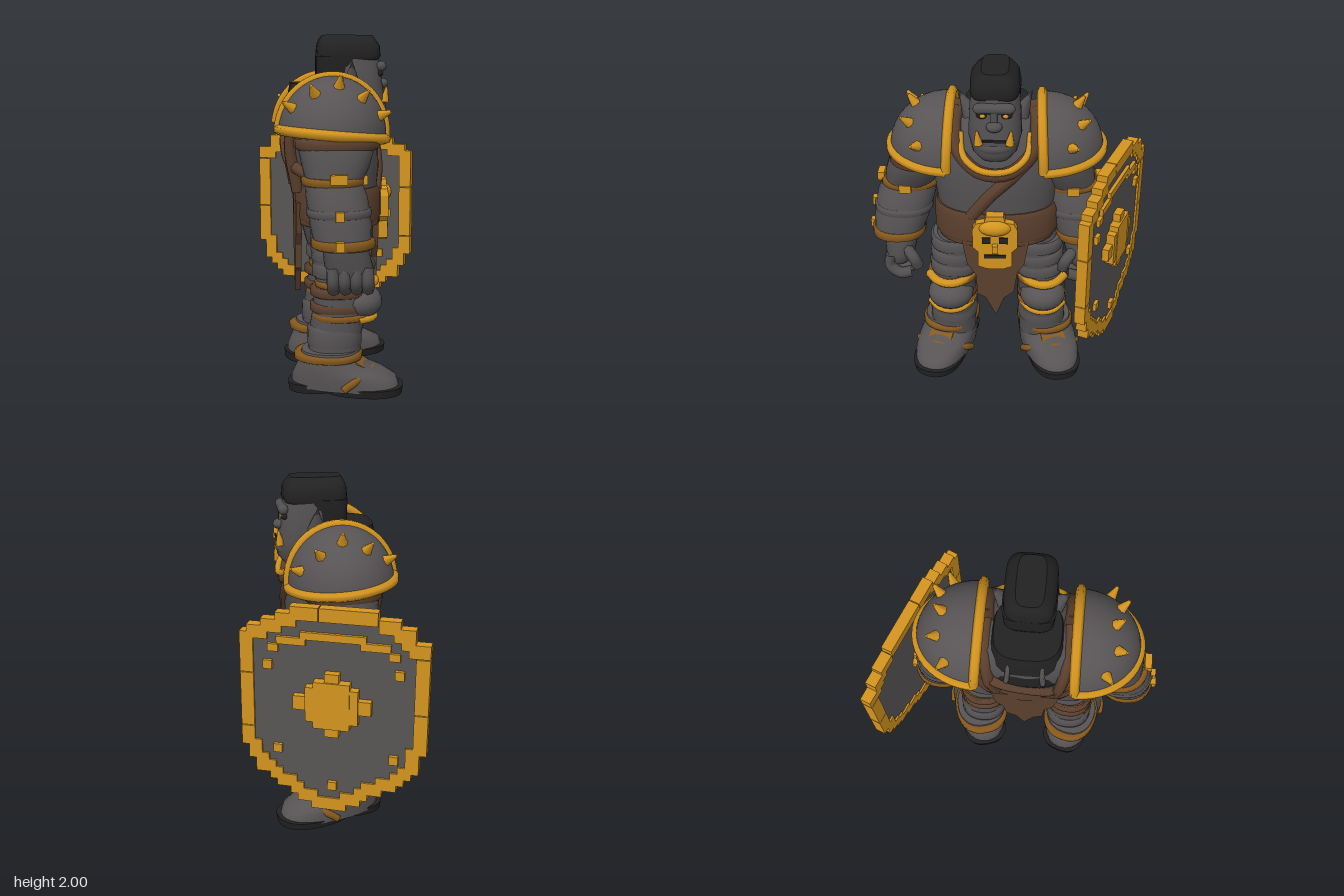
import * as THREE from 'three';

const mat = (name, color) => Object.assign(new THREE.MeshStandardMaterial({ color }), { name });
const steel = mat('steel grey', 0x585455);
const skin = mat('skin grey', 0x535051);
const gold = mat('gold', 0xd4951f);
const bronze = mat('bronze', 0x87591d);
const leather = mat('leather brown', 0x5c402e);
const dark = mat('dark', 0x222222);
const shell = mat('pauldron grey', 0x585455);
shell.side = THREE.DoubleSide;

const V = (x, y, z) => new THREE.Vector3(x, y, z);

function add(parent, name, geo, material, x = 0, y = 0, z = 0) {
  const m = new THREE.Mesh(geo, material);
  m.name = name;
  m.position.set(x, y, z);
  parent.add(m);
  return m;
}

// Closed body from horizontal superellipse rings [y, x, z, rx, rz], bottom to top
function loft(rings, n = 2.3, seg = 28) {
  const pos = [], idx = [];
  const p = (v) => Math.sign(v) * Math.abs(v) ** (2 / n);
  const ring = ([y, x, z, rx, rz]) => {
    for (let j = 0; j < seg; j++) {
      const a = (j / seg) * Math.PI * 2;
      pos.push(x + rx * p(Math.cos(a)), y, z + rz * p(Math.sin(a)));
    }
  };
  rings.forEach(ring);
  for (let i = 0; i < rings.length - 1; i++) for (let j = 0; j < seg; j++) {
    const k = (j + 1) % seg, a = i * seg + j, b = i * seg + k;
    idx.push(a, a + seg, b, b, a + seg, b + seg);
  }
  for (const top of [false, true]) {
    const r = top ? rings[rings.length - 1] : rings[0], s = pos.length / 3;
    ring(r);
    pos.push(r[1], r[0], r[2]);
    for (let j = 0; j < seg; j++) {
      const a = s + j, b = s + (j + 1) % seg;
      idx.push(s + seg, top ? b : a, top ? a : b);
    }
  }
  const g = new THREE.BufferGeometry();
  g.setAttribute('position', new THREE.Float32BufferAttribute(pos, 3));
  g.setIndex(idx);
  g.computeVertexNormals();
  return g;
}

// Rounded band of height h around one ring
const band = (y, h, x, z, rx, rz, n) => loft([
  [y - h / 2, x, z, rx - 0.015, rz - 0.015], [y - h / 3, x, z, rx, rz],
  [y + h / 3, x, z, rx, rz], [y + h / 2, x, z, rx - 0.015, rz - 0.015]], n);

const tube = (pts, r, sides = 7) =>
  new THREE.TubeGeometry(new THREE.CatmullRomCurve3(pts.map((q) => V(...q))), 24, r, sides);

const plate = (pts, depth) => new THREE.ExtrudeGeometry(
  new THREE.Shape(pts.map((q) => new THREE.Vector2(...q))), { depth, bevelEnabled: false });

const box = (w, h, d) => new THREE.BoxGeometry(w, h, d);

function ball(parent, name, material, x, y, z, rx, ry, rz) {
  add(parent, name, new THREE.SphereGeometry(1, 18, 12), material, x, y, z).scale.set(rx, ry, rz);
}

function spike(parent, name, at, dir, r, h) {
  const m = add(parent, name, new THREE.CylinderGeometry(r * 0.25, r, h, 7), gold, ...at);
  m.quaternion.setFromUnitVectors(V(0, 1, 0), V(...dir).normalize());
}

function buildTorso(g) {
  add(g, 'torso', loft([[0.8, -0.06, 0, 0.17, 0.22], [0.95, -0.05, 0, 0.22, 0.32], [1.1, -0.05, 0, 0.23, 0.34],
    [1.25, -0.06, 0, 0.25, 0.36], [1.42, -0.08, 0, 0.265, 0.38], [1.55, -0.1, 0, 0.25, 0.35],
    [1.66, -0.12, 0, 0.2, 0.26], [1.72, -0.1, 0, 0.12, 0.15]]), skin);
  add(g, 'backPanel', loft([[1.3, -0.14, 0, 0.19, 0.22], [1.4, -0.15, 0, 0.205, 0.23], [1.6, -0.15, 0, 0.195, 0.21],
    [1.73, -0.15, 0, 0.17, 0.18]], 3), dark);
  for (const s of [-1, 1]) {
    add(g, 'backStrap', tube([[-0.04, 1.7, s * 0.23], [-0.26, 1.62, s * 0.22], [-0.33, 1.42, s * 0.2], [-0.29, 1.12, s * 0.17]], 0.035), leather);
    add(g, 'backRib', tube([[-0.28, 1.72, s * 0.09], [-0.33, 1.6, s * 0.09], [-0.345, 1.45, s * 0.1]], 0.016), steel);
  }
  add(g, 'backCrossStrap', tube([[-0.2, 1.48, -0.35], [-0.33, 1.42, -0.18], [-0.345, 1.35, 0], [-0.31, 1.27, 0.18], [-0.18, 1.2, 0.33]], 0.035), leather);
  // Chest strap and collar
  add(g, 'chestStrap', tube([[-0.02, 1.63, -0.27], [0.11, 1.53, -0.22], [0.165, 1.41, -0.11], [0.175, 1.27, 0.03], [0.155, 1.12, 0.14]], 0.042), leather);
  add(g, 'collar', tube([[-0.12, 1.71, -0.22], [0.05, 1.64, -0.235], [0.12, 1.53, -0.21], [0.18, 1.43, -0.1], [0.19, 1.41, 0],
    [0.18, 1.43, 0.1], [0.12, 1.53, 0.21], [0.05, 1.64, 0.235], [-0.12, 1.71, 0.22]], 0.042), leather);
  add(g, 'collarTrim', tube([[0.07, 1.62, -0.2], [0.16, 1.52, -0.18], [0.21, 1.46, -0.1], [0.225, 1.445, 0],
    [0.21, 1.46, 0.1], [0.16, 1.52, 0.18], [0.07, 1.62, 0.2]], 0.02), gold);
  // Belt, loincloth and skull buckle
  add(g, 'belt', band(1.045, 0.21, -0.05, 0, 0.255, 0.37), leather);
  add(g, 'beltLowerEdge', band(0.945, 0.04, -0.05, 0, 0.25, 0.35), leather);
  const flap = [[-0.2, 0.98], [-0.17, 0.8], [-0.12, 0.72], [-0.11, 0.58], [-0.06, 0.55], [0, 0.42],
    [0.05, 0.55], [0.11, 0.6], [0.13, 0.74], [0.17, 0.8], [0.2, 0.98]];
  for (const x of [0.14, -0.3]) add(g, 'loincloth', plate(flap, 0.035), leather, x, x < 0 ? 0.08 : 0).rotation.y = Math.PI / 2;
  const skull = [[-0.05, 1.17], [-0.06, 1.13], [-0.11, 1.12], [-0.13, 1.08], [-0.13, 0.96], [-0.1, 0.93], [-0.1, 0.83],
    [-0.05, 0.81], [0.05, 0.81], [0.1, 0.83], [0.1, 0.93], [0.13, 0.96], [0.13, 1.08], [0.11, 1.12], [0.06, 1.13], [0.05, 1.17]];
  add(g, 'buckle', plate(skull, 0.07), gold, 0.17).rotation.y = Math.PI / 2;
  ball(g, 'buckleBrow', gold, 0.22, 1.09, 0, 0.055, 0.055, 0.1);
  for (const s of [-1, 1]) add(g, 'buckleEye', box(0.008, 0.04, 0.05), dark, 0.243, 1.01, s * 0.05);
  add(g, 'buckleMouth', box(0.008, 0.022, 0.13), dark, 0.243, 0.9, 0);
  add(g, 'buckleNose', box(0.05, 0.05, 0.03), gold, 0.245, 0.96, 0);
}

function buildHead(g) {
  add(g, 'head', loft([[1.5, 0.12, 0, 0.07, 0.08], [1.55, 0.1, 0, 0.13, 0.125], [1.64, 0.08, 0, 0.15, 0.15],
    [1.74, 0.06, 0, 0.15, 0.145], [1.82, 0.04, 0, 0.165, 0.14], [1.92, 0.03, 0, 0.15, 0.12]], 2.5), skin);
  add(g, 'hairCap', loft([[1.86, 0.01, 0, 0.175, 0.13], [1.88, 0.015, 0, 0.185, 0.137], [1.94, 0.015, 0, 0.18, 0.135],
    [1.97, 0.01, 0, 0.165, 0.11], [2, 0.01, 0, 0.145, 0.075]], 4), dark);
  add(g, 'hairBack', loft([[1.66, -0.07, 0, 0.07, 0.1], [1.76, -0.06, 0, 0.11, 0.135], [1.88, -0.05, 0, 0.12, 0.142]], 4), dark);
  add(g, 'brow', new THREE.CapsuleGeometry(0.03, 0.17, 4, 10), skin, 0.2, 1.825, 0).rotation.x = Math.PI / 2;
  ball(g, 'nose', skin, 0.215, 1.725, 0, 0.038, 0.03, 0.045);
  add(g, 'noseBridge', box(0.04, 0.09, 0.035), skin, 0.2, 1.775, 0);
  ball(g, 'jaw', skin, 0.15, 1.59, 0, 0.09, 0.055, 0.12);
  add(g, 'mouth', box(0.008, 0.014, 0.13), dark, 0.232, 1.645, 0);
  for (const s of [-1, 1]) {
    ball(g, 'eyeSocket', dark, 0.19, 1.785, s * 0.065, 0.022, 0.022, 0.035);
    ball(g, 'eye', gold, 0.205, 1.785, s * 0.063, 0.012, 0.012, 0.016);
    spike(g, 'tusk', [0.225, 1.665, s * 0.09], [0.1, 1, s * 0.1], 0.026, 0.085);
    const ear = add(g, 'ear', new THREE.ConeGeometry(0.055, 0.16, 8), skin, 0.02, 1.785, s * 0.17);
    ear.rotation.x = s * 0.45;
  }
}

function buildPauldron(g, s) {
  const p = new THREE.Group();
  p.name = 'pauldron';
  p.position.set(-0.1, 1.455, s * 0.272);
  p.rotation.set(-0.05, s > 0 ? 0 : Math.PI, -0.09 * s, 'YXZ');
  g.add(p);
  const R = [0.3, 0.32, 0.345];
  add(p, 'pauldronShell', new THREE.SphereGeometry(1, 28, 12, 0, Math.PI, 0, Math.PI / 2), shell).scale.set(...R);
  const arc = (f) => Array.from({ length: 17 }, (_, i) => f(Math.cos(i * Math.PI / 16), Math.sin(i * Math.PI / 16)));
  add(p, 'innerRim', tube(arc((c, d) => [R[0] * c, R[1] * d, 0]), 0.028, 6), gold);
  add(p, 'lowerRim', tube(arc((c, d) => [R[0] * c, 0, R[2] * d]), 0.028, 6), gold);
  for (const [a, e] of [[0.55, 0.4], [1.57, 0.95], [2.6, 0.4], [1.0, 0.7], [2.15, 0.7]]) {
    const d = [Math.cos(a) * Math.cos(e), Math.sin(e), Math.sin(a) * Math.cos(e)];
    spike(p, 'pauldronSpike', d.map((v, i) => v * (R[i] + 0.025)), d, 0.036, 0.085);
  }
}

function buildArm(g, s) {
  const shift = s < 0 ? 0.08 : 0; // the shield arm is held closer to the body
  const w = (v) => s * (v - shift);
  add(g, 'upperArm', loft([[1.17, -0.12, w(0.54), 0.13, 0.13], [1.3, -0.1, w(0.49), 0.18, 0.165],
    [1.45, -0.09, w(0.43), 0.22, 0.18], [1.62, -0.1, s * 0.35, 0.18, 0.14]]), skin);
  add(g, 'armStrap', band(1.42, 0.06, -0.09, w(0.44), 0.23, 0.185), leather);
  add(g, 'bracer', loft([[0.88, -0.07, w(0.6), 0.15, 0.145], [1.0, -0.08, w(0.575), 0.165, 0.165],
    [1.15, -0.1, w(0.54), 0.165, 0.175], [1.25, -0.12, w(0.51), 0.15, 0.16]]), steel);
  add(g, 'bracerTop', band(1.23, 0.045, -0.12, w(0.515), 0.165, 0.175), bronze);
  add(g, 'bracerPlate', band(1.07, 0.05, -0.09, w(0.56), 0.172, 0.175), steel);
  add(g, 'bracerCuff', band(0.91, 0.055, -0.07, w(0.595), 0.17, 0.16), bronze);
  for (const [y, v, l] of [[1.255, 0.685, 0.09], [1.07, 0.73, 0.045], [0.915, 0.752, 0.045]])
    add(g, 'bracerStud', box(l, 0.05, 0.04), gold, -0.1, y, w(v));
  add(g, 'bracerFrontStud', box(0.04, 0.05, 0.07), gold, 0.045, 1.235, w(0.53));
  // Hand with curled fingers
  add(g, 'wrist', loft([[0.7, -0.03, w(0.6), 0.08, 0.06], [0.78, -0.04, w(0.59), 0.13, 0.09], [0.9, -0.06, w(0.58), 0.12, 0.11]]), skin);
  for (let i = 0; i < 4; i++) {
    const x = -0.13 + i * 0.062;
    add(g, 'finger', tube([[x, 0.78, w(0.64)], [x, 0.7, w(0.65)], [x + 0.01, 0.65, w(0.59)], [x + 0.02, 0.67, w(0.51)]], 0.035), skin);
  }
  add(g, 'thumb', tube([[0.04, 0.82, w(0.55)], [0.08, 0.77, w(0.5)], [0.06, 0.7, w(0.48)]], 0.036), skin);
}

function buildLeg(g, s) {
  add(g, 'leg', loft([[0.15, -0.09, s * 0.29, 0.15, 0.15], [0.3, -0.09, s * 0.28, 0.15, 0.142], [0.45, -0.06, s * 0.28, 0.155, 0.145],
    [0.62, -0.04, s * 0.265, 0.155, 0.14], [0.8, -0.05, s * 0.245, 0.17, 0.15], [0.98, -0.06, s * 0.2, 0.16, 0.14]]), skin);
  for (let i = 0; i < 3; i++) add(g, 'thighPlate', band(0.69 + i * 0.085, 0.085, -0.045, s * (0.26 - i * 0.008), 0.17, 0.152 + i * 0.003), steel);
  for (const y of [0.48, 0.57]) add(g, 'kneeStrap', band(y, 0.055, -0.06, s * 0.275, 0.168, 0.15), leather);
  add(g, 'kneeBandUpper', band(0.615, 0.04, -0.03, s * 0.275, 0.17, 0.152), bronze);
  add(g, 'kneeBandLower', band(0.43, 0.04, -0.05, s * 0.28, 0.168, 0.155), bronze);
  add(g, 'shinPlate', band(0.31, 0.13, -0.09, s * 0.28, 0.155, 0.148), steel);
  ball(g, 'kneeCap', steel, 0.055, 0.505, s * 0.285, 0.13, 0.1, 0.14);
  for (const [y, r] of [[0.625, 0.027], [0.42, 0.02]]) add(g, 'kneeTrim', tube([[0.03, y, s * 0.285 - 0.13], [0.115, y, s * 0.285 - 0.07],
    [0.14, y, s * 0.285], [0.115, y, s * 0.285 + 0.07], [0.03, y, s * 0.285 + 0.13]], r), gold);
  // Boot turned outward
  const b = new THREE.Group();
  b.name = 'boot';
  b.position.set(-0.03, 0, s * 0.33);
  b.rotation.y = -0.29 * s;
  g.add(b);
  add(b, 'foreSole', loft([[0, 0.1, 0, 0.225, 0.15], [0.045, 0.1, 0, 0.23, 0.16]], 2.4), dark);
  add(b, 'heelSole', loft([[0, -0.19, 0, 0.135, 0.13], [0.05, -0.19, 0, 0.14, 0.14]], 2.6), dark);
  add(b, 'bootUpper', loft([[0.03, 0, 0, 0.31, 0.165], [0.09, -0.01, 0, 0.3, 0.17], [0.13, -0.04, 0, 0.25, 0.17],
    [0.17, -0.09, 0, 0.18, 0.165], [0.24, -0.09, 0, 0.16, 0.155]], 2.3), steel);
  add(b, 'bootRim', band(0.205, 0.045, -0.1, 0, 0.195, 0.172), bronze);
  add(b, 'insteepPlate', box(0.09, 0.03, 0.15), bronze, 0.1, 0.15, 0).rotation.z = -0.5;
  add(b, 'toeBand', tube([[0.02, 0.05, -0.175], [0.09, 0.1, -0.15], [0.15, 0.13, 0], [0.09, 0.1, 0.15], [0.02, 0.05, 0.175]], 0.022), bronze);
}

function buildShield(g) {
  const sh = new THREE.Group();
  sh.name = 'shield';
  sh.position.set(0, 0, -0.625);
  sh.rotation.y = -0.38;
  g.add(sh);
  const outline = [[-0.48, 1.24], [-0.39, 1.3], [-0.24, 1.385], [0.22, 1.385], [0.39, 1.28], [0.48, 1.24], [0.48, 0.72],
    [0.43, 0.54], [0.3, 0.42], [0.08, 0.29], [-0.06, 0.29], [-0.28, 0.42], [-0.42, 0.52], [-0.48, 0.72]].reverse();
  add(sh, 'shieldBoard', plate(outline, 0.04), steel, 0, 0, -0.02);
  // Stepped rim of blocks snapped to a grid
  const path = new THREE.CurvePath();
  outline.forEach((q, i) => path.add(new THREE.LineCurve(new THREE.Vector2(...q), new THREE.Vector2(...outline[(i + 1) % outline.length]))));
  const snap = (v) => Math.round(v / 0.04) * 0.04;
  const block = box(0.075, 0.075, 0.064), N = 76;
  for (let i = 0; i < N; i++) {
    const q = path.getPointAt(i / N);
    add(sh, 'shieldRim', block, gold, snap(q.x), snap(q.y), 0);
  }
  // Stepped star, inlay and studs on the outer face
  for (const [w, h, d] of [[0.43, 0.08, 0.04], [0.29, 0.2, 0.05], [0.2, 0.27, 0.055], [0.08, 0.37, 0.045]])
    add(sh, 'shieldStar', box(w, h, d), gold, 0, 0.9, -0.02 - d / 2);
  for (const [x, y, l] of [[0, 1.28, 0.36], [-0.23, 1.245, 0.16], [0.23, 1.245, 0.16], [-0.33, 1.2, 0.06], [0.33, 1.2, 0.06]])
    add(sh, 'shieldInlay', box(l, 0.042, 0.03), gold, x, y, -0.025);
  for (const [x, y, z] of [[-0.36, 1.1, -0.025], [0.36, 1.1, -0.025], [-0.34, 0.6, -0.025], [0.31, 0.6, 0], [0, 0.4, -0.025]])
    add(sh, 'shieldStud', box(0.05, 0.05, z ? 0.035 : 0.08), gold, x, y, z);
}

export function createModel() {
  const model = new THREE.Group();
  model.name = 'armouredWarrior';
  const body = new THREE.Group();
  body.name = 'body';
  body.position.z = 0.06;
  model.add(body);
  buildTorso(body);
  buildHead(body);
  for (const s of [-1, 1]) {
    buildPauldron(body, s);
    buildArm(body, s);
    buildLeg(body, s);
  }
  buildShield(model);
  return model;
}
